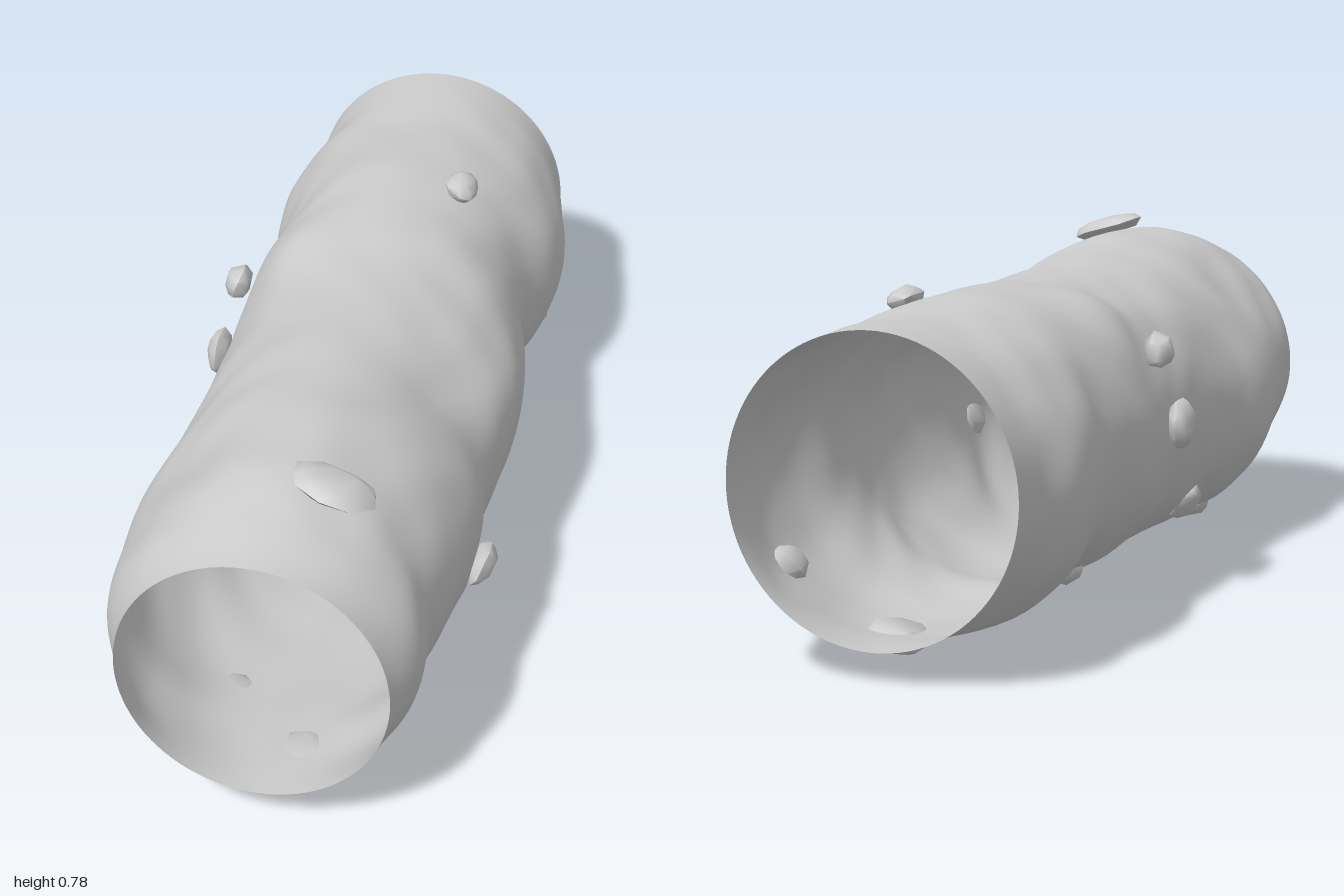
import * as THREE from 'three';
import { ConvexGeometry } from 'three/addons/geometries/ConvexGeometry.js';
import { toCreasedNormals } from 'three/addons/utils/BufferGeometryUtils.js';

const RINGS = 128, SIDES = 96;

// Smooth curve through evenly spaced values from the front (z = 1) to the back (z = -1)
function track(values) {
  const curve = new THREE.SplineCurve(values.map((v, i) => new THREE.Vector2(i, v)));
  return (t) => curve.getPoint(t).y;
}
const left = track([-.295, -.345, -.36, -.378, -.38, -.36, -.345, -.34, -.34, -.345, -.345, -.335, -.335, -.36, -.365, -.335, -.33]);
const right = track([.28, .32, .315, .335, .345, .35, .335, .345, .355, .352, .335, .305, .305, .345, .35, .325, .30]);
const top = track([.69, .715, .738, .735, .735, .725, .72, .71, .705, .705, .715, .72, .725, .715, .705, .708, .71]);
const bottom = track([.09, .085, .075, .06, .05, .04, .035, .04, .045, .04, .05, .065, .05, .04, .045, .06, .065]);

// Broad swellings and hollows: angle in degrees, z, angular spread, spread along z, height
const SWELLS = [
  [200, 0.55, 20, 0.2, 0.012],
  [155, 0.55, 20, 0.25, -0.018],
  [130, 0.62, 20, 0.22, -0.03],
  [129, -0.22, 22, 0.14, 0.022],
  [80, 0.6, 14, 0.2, 0.012],
  [51, 0.25, 20, 0.16, -0.022],
  [22, 0, 16, 0.18, 0.012],
  [-51, 0.35, 20, 0.2, 0.018],
  [231, 0.55, 20, 0.18, 0.016],
];

// Surface relief: small lumps plus the swellings, fading at the two rims
function relief(a, z) {
  const fade = THREE.MathUtils.smoothstep(1 - Math.abs(z), 0, 0.2);
  const diagonal = 0.3 + 0.7 * Math.abs(Math.sin(2 * a));
  let n = diagonal * (0.003 * Math.sin(5 * a + 2 * Math.sin(5 * z + 1)) * Math.sin(10 * z)
    + 0.003 * Math.sin(9 * a + 2 * Math.sin(8 * z)) * Math.cos(17 * z + Math.sin(4 * a)));
  n += 0.014 * Math.max(0, -Math.sin(a)) * Math.abs(Math.sin(2 * a));
  for (const [deg, z0, spread, length, height] of SWELLS) {
    const turn = THREE.MathUtils.euclideanModulo(a * THREE.MathUtils.RAD2DEG - deg + 180, 360) - 180;
    n += height * Math.exp(-((turn / spread) ** 2) - ((z - z0) / length) ** 2);
  }
  return fade * n;
}

// Point on the tunnel wall at angle a (0 = +x, quarter turn = up)
function wallPoint(a, t) {
  const z = 1 - 2 * t;
  const cx = (left(t) + right(t)) / 2, cy = (top(t) + bottom(t)) / 2;
  const rx = (right(t) - left(t)) / 2, ry = (top(t) - bottom(t)) / 2;
  const k = relief(a, z);
  return [cx + (rx + k) * Math.cos(a), cy + (ry + k) * Math.sin(a), z];
}

function makeTunnel() {
  const pos = [], index = [];
  for (let i = 0; i <= RINGS; i++) {
    for (let j = 0; j < SIDES; j++) pos.push(...wallPoint(j / SIDES * Math.PI * 2, i / RINGS));
  }
  for (let i = 0; i < RINGS; i++) {
    for (let j = 0; j < SIDES; j++) {
      const k = (j + 1) % SIDES;
      const a = i * SIDES + j, b = i * SIDES + k;
      index.push(a, a + SIDES, b, b, a + SIDES, b + SIDES);
    }
  }
  const g = new THREE.BufferGeometry();
  g.setAttribute('position', new THREE.Float32BufferAttribute(pos, 3));
  g.setIndex(index);
  g.computeVertexNormals();
  return g;
}

function seeded(seed) {
  let s = seed * 7919 + 17;
  return () => (s = (s * 16807) % 2147483647) / 2147483647;
}

// Flat irregular stone: uneven rings from base to crown, wrapped in a hull
function makeStone(seed, w, h, d) {
  const rnd = seeded(seed);
  rnd(); rnd();
  const pts = [];
  for (const [y, r] of [[-0.8, 0.7], [-0.1, 1], [0.55, 0.8], [0.95, 0.5]]) {
    for (let i = 0; i < 9; i++) {
      const a = (i + rnd() * 0.6) / 9 * Math.PI * 2;
      const q = r * (0.9 + 0.15 * rnd());
      pts.push(new THREE.Vector3(Math.cos(a) * q * w, (y + (rnd() - 0.5) * 0.3) * h, Math.sin(a) * q * d));
    }
  }
  return toCreasedNormals(new ConvexGeometry(pts), 1);
}

// Stones: x, y, z, half width around the wall, half thickness, half length, extra tilt
const STONES = [
  [0.115, 0.738, 0.77, 0.1, 0.022, 0.064, 0],
  [0.135, 0.703, -0.48, 0.042, 0.024, 0.058, 0],
  [0.355, 0.29, 0.40, 0.053, 0.026, 0.066, -0.25],
  [0.278, 0.172, -0.77, 0.044, 0.026, 0.058, 0],
  [0.04, 0.06, 0.84, 0.088, 0.031, 0.072, 0.1],
  [-0.14, 0.046, 0.67, 0.056, 0.028, 0.065, 0.2],
  [0.04, 0.031, -0.75, 0.078, 0.029, 0.072, 0],
  [-0.37, 0.4, -0.11, 0.064, 0.026, 0.06, 0],
  [-0.333, 0.57, -0.16, 0.044, 0.029, 0.048, 0.2],
  [-0.272, 0.15, 0.22, 0.05, 0.026, 0.06, 0],
  [-0.15, 0.075, -0.25, 0.042, 0.024, 0.05, 0],
];

export function createModel() {
  const group = new THREE.Group();
  group.name = 'rockTunnel';

  const wall = new THREE.Mesh(makeTunnel(), new THREE.MeshStandardMaterial({ color: 0xcccccc, side: THREE.DoubleSide }));
  wall.name = 'tunnelWall';
  group.add(wall);

  const stoneMaterial = new THREE.MeshStandardMaterial({ color: 0xcccccc });
  STONES.forEach(([x, y, z, w, h, d, tilt], i) => {
    const stone = new THREE.Mesh(makeStone(i + 1, w, h, d), stoneMaterial);
    stone.name = 'stone' + (i + 1);
    stone.position.set(x, y, z);
    stone.rotation.z = Math.atan2(y - 0.385, x) - Math.PI / 2 + tilt;
    group.add(stone);
  });
  return group;
}
